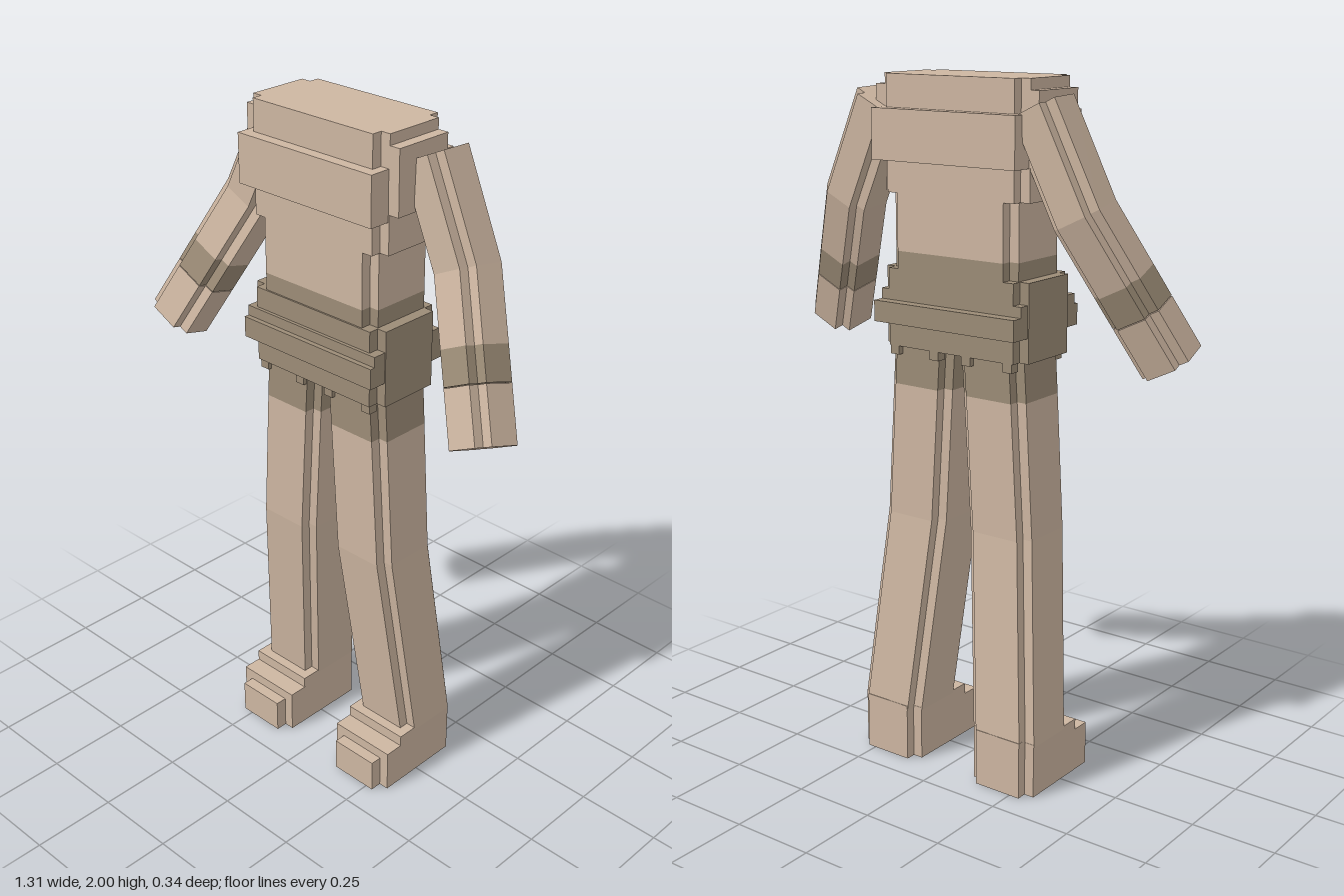
import * as THREE from 'three';

const skin = new THREE.MeshStandardMaterial({ color: 0xcdb6a1 });
skin.name = 'tan';
const shade = new THREE.MeshStandardMaterial({ color: 0x9c8c77 });
shade.name = 'dark tan';

const V = (x, y, z) => new THREE.Vector3(x, y, z);

// Rectangle outline with a square step cut from every corner
function notched(w, d, n) {
  const a = w / 2, b = d / 2, c = a - n, e = b - n;
  return [[a, -e], [a, e], [c, e], [c, b], [-c, b], [-c, e], [-a, e], [-a, -e], [-c, -e], [-c, -b], [c, -b], [c, -e]];
}

// Flat-faced loft; each station has a centre c and section axes u, v
function loft(outline, stations) {
  const pos = [];
  const tri = (...pts) => pts.forEach((p) => pos.push(p.x, p.y, p.z));
  const rings = stations.map((s) => outline.map(([a, b]) => s.c.clone().addScaledVector(s.u, a).addScaledVector(s.v, b)));
  const n = outline.length, last = rings.length - 1;
  for (let i = 0; i < n; i++) {
    const k = (i + 1) % n;
    for (let j = 0; j < last; j++) {
      const [a, b, c, d] = [rings[j][i], rings[j][k], rings[j + 1][k], rings[j + 1][i]];
      tri(a, b, c, a, c, d);
    }
    tri(stations[0].c, rings[0][k], rings[0][i]);
    tri(stations[last].c, rings[last][i], rings[last][k]);
  }
  const g = new THREE.BufferGeometry();
  g.setAttribute('position', new THREE.Float32BufferAttribute(pos, 3));
  g.computeVertexNormals();
  return g;
}

function add(parent, name, geometry, material) {
  const m = new THREE.Mesh(geometry, material);
  m.name = name;
  parent.add(m);
  return m;
}

const level = (x, y, z) => ({ c: V(x, y, z), u: V(1, 0, 0), v: V(0, 0, 1) });

// Upright block with stepped corners, given by its limits
function slab(parent, name, mat, x0, x1, y0, y1, z0, z1, n = 0.03) {
  const x = (x0 + x1) / 2, z = (z0 + z1) / 2;
  add(parent, name, loft(notched(x1 - x0, z1 - z0, n), [level(x, y1, z), level(x, y0, z)]), mat);
}

function box(parent, name, mat, x0, x1, y0, y1, z0, z1) {
  const g = new THREE.BoxGeometry(x1 - x0, y1 - y0, z1 - z0);
  g.translate((x0 + x1) / 2, (y0 + y1) / 2, (z0 + z1) / 2);
  add(parent, name, g, mat);
}

function makeTorso() {
  const t = new THREE.Group();
  t.name = 'torso';
  slab(t, 'upperChest', skin, -0.254, 0.233, 1.68, 2, -0.13, 0.11);
  box(t, 'shoulderYoke', skin, -0.28, 0.265, 1.79, 1.97, -0.1, 0.08);
  box(t, 'chestBand', skin, -0.25, 0.23, 1.77, 1.91, -0.164, 0.143);
  slab(t, 'waist', skin, -0.22, 0.2, 1.52, 1.68, -0.13, 0.11);
  slab(t, 'lowerWaist', shade, -0.22, 0.2, 1.47, 1.52, -0.13, 0.11);
  slab(t, 'hips', shade, -0.254, 0.233, 1.25, 1.47, -0.13, 0.115);
  box(t, 'belt', shade, -0.25, 0.23, 1.32, 1.38, -0.164, 0.14);
  box(t, 'beltTop', shade, -0.25, 0.23, 1.38, 1.41, -0.13, 0.125);
  // Ragged lower hem
  for (const [a, b] of [[-0.22, -0.19], [-0.08, -0.05], [0.03, 0.06], [0.17, 0.2]]) {
    box(t, 'hemTooth', shade, a, b, 1.225, 1.25, 0.08, 0.11);
    box(t, 'hemTooth', shade, a, b, 1.225, 1.25, -0.13, -0.1);
  }
  return t;
}

function makeArm(side) {
  const arm = new THREE.Group();
  arm.name = side > 0 ? 'leftArm' : 'rightArm';
  const shoulder = V(side * 0.26, 1.925, -0.058);
  const elbow = V(side * 0.39, 1.655, -0.045);
  const tip = V(side * 0.58, 1.265, 0.097);
  const upper = elbow.clone().sub(shoulder).normalize();
  const lower = tip.clone().sub(elbow).normalize();
  const mid = upper.clone().add(lower).normalize();
  const station = (c, d) => {
    const u = V(-d.y, d.x, 0).normalize();
    return { c, u, v: d.clone().cross(u) };
  };
  const along = (t) => station(elbow.clone().lerp(tip, t), lower);
  const outline = notched(0.152, 0.152, 0.03);
  add(arm, 'sleeve', loft(outline, [station(shoulder, upper), station(elbow, mid), along(0.44)]), skin);
  add(arm, 'wristBand', loft(outline, [along(0.44), along(0.65)]), shade);
  add(arm, 'hand', loft(outline, [along(0.655), along(1)]), skin);
  return arm;
}

function makeLeg(side) {
  const leg = new THREE.Group();
  leg.name = side > 0 ? 'leftLeg' : 'rightLeg';
  const at = (x, y, z) => level(side * x - 0.004, y, z);
  const outline = notched(0.212, 0.212, 0.03);
  add(leg, 'upperThigh', loft(outline, [at(0.117, 1.27, -0.007), at(0.126, 1.135, -0.007)]), shade);
  add(leg, 'trouserLeg', loft(outline, [at(0.126, 1.135, -0.007), at(0.15, 0.745, -0.008), at(0.203, 0.155, -0.064)]), skin);
  // Stepped foot
  const foot = new THREE.Group();
  foot.name = 'foot';
  const x = side * 0.203 - 0.004;
  box(foot, 'sole', skin, x - 0.105, x + 0.105, 0, 0.13, -0.14, 0.13);
  box(foot, 'instep', skin, x - 0.105, x + 0.105, 0.13, 0.163, -0.14, 0.073);
  box(foot, 'heel', skin, x - 0.075, x + 0.075, 0, 0.17, -0.17, -0.14);
  box(foot, 'toe', skin, x - 0.075, x + 0.075, 0, 0.1, 0.13, 0.165);
  leg.add(foot);
  return leg;
}

export function createModel() {
  const model = new THREE.Group();
  model.name = 'outfit';
  model.add(makeTorso());
  for (const side of [1, -1]) model.add(makeArm(side), makeLeg(side));
  return model;
}
